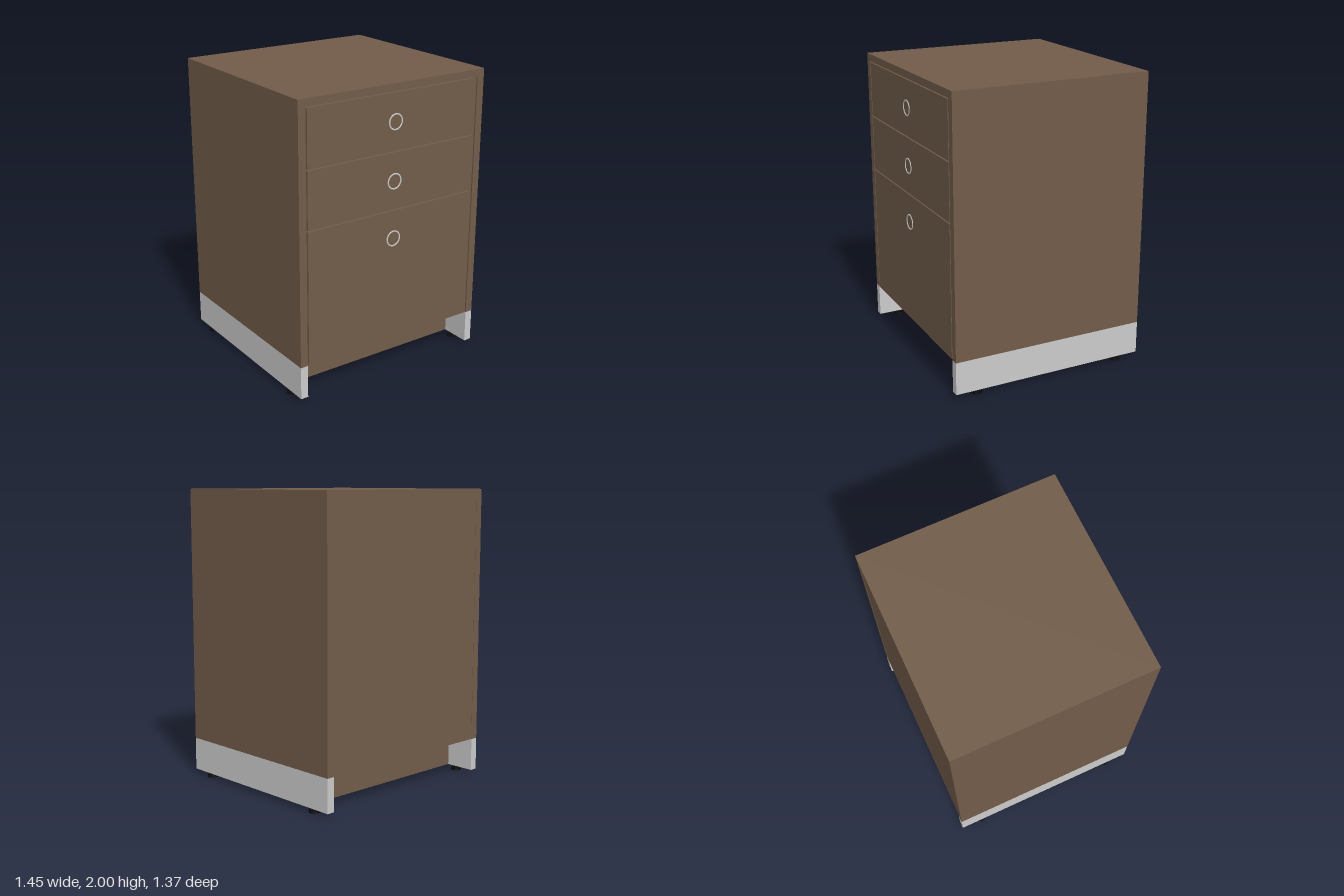
import * as THREE from 'three';

export function createModel() {
  const root = new THREE.Group();
  const wood = new THREE.MeshStandardMaterial({ color: 0x725c4a });
  const grey = new THREE.MeshStandardMaterial({ color: 0xcccccc });
  const black = new THREE.MeshStandardMaterial({ color: 0x0c0c0c });

  // Box given by its minimum and maximum corners
  function box(name, mat, [x0, y0, z0], [x1, y1, z1]) {
    const mesh = new THREE.Mesh(new THREE.BoxGeometry(x1 - x0, y1 - y0, z1 - z0), mat);
    mesh.position.set((x0 + x1) / 2, (y0 + y1) / 2, (z0 + z1) / 2);
    mesh.name = name;
    root.add(mesh);
    return mesh;
  }

  const W = 0.72, inner = 0.667, back = -0.686, front = 0.682;
  const floor = 0.03, base = 0.255, top = 2, under = 1.95;

  // Side panels standing on grey base rails
  for (const s of [-1, 1]) {
    const side = s < 0 ? 'right' : 'left';
    const x0 = s < 0 ? -W : inner, x1 = s < 0 ? -inner : W;
    box(side + 'SidePanel', wood, [x0, base, back], [x1, under, front]);
    box(side + 'BaseRail', grey, [x0, floor, back], [x1, base, front]);
  }

  // Top, back and bottom panels
  box('topPanel', wood, [-W, under, back], [W, top, front]);
  box('backPanel', wood, [-inner, base, back + 0.002], [inner, under, back + 0.05]);
  box('bottomPanel', wood, [-inner, base, back + 0.05], [inner, base + 0.05, front - 0.06]);

  // Recessed plinth boards, front and back
  box('frontPlinth', wood, [-inner, floor, 0.385], [inner, base, 0.475]);
  box('backPlinth', wood, [-inner, floor, -0.478], [inner, base, -0.388]);

  // Drawer fronts: bottom, top and height of the ring pull
  const ringProfile = [[0.045, -0.01], [0.045, 0.002], [0.047, 0.004], [0.053, 0.004], [0.055, 0.002], [0.055, -0.01]]
    .map(([r, y]) => new THREE.Vector2(r, y)).reverse();
  const ringGeo = new THREE.LatheGeometry(ringProfile, 40).rotateX(Math.PI / 2);
  const ringMat = grey.clone();
  ringMat.side = THREE.DoubleSide;
  const drawers = [[1.565, 1.943, 1.755], [1.175, 1.557, 1.365], [base + 0.003, 1.167, 0.975]];
  drawers.forEach(([y0, y1, ringY], i) => {
    box('drawerFront' + (i + 1), wood, [-0.658, y0, front - 0.055], [0.658, y1, front]);
    // Drawer body behind the front
    box('drawerBody' + (i + 1), wood, [-0.64, y0 + 0.05, -0.6], [0.64, y1 - 0.05, front - 0.055]);
    const ring = new THREE.Mesh(ringGeo, ringMat);
    ring.name = 'ringPull' + (i + 1);
    ring.position.set(0, ringY, front);
    root.add(ring);
  });

  // Levelling feet: disc and threaded stem
  for (const x of [-0.69, 0.69]) {
    for (const z of [-0.53, 0.527]) {
      const foot = new THREE.Group();
      foot.name = 'foot';
      const disc = new THREE.Mesh(new THREE.CylinderGeometry(0.035, 0.037, 0.018, 16), black);
      disc.name = 'footDisc';
      disc.position.y = 0.009;
      const stem = new THREE.Mesh(new THREE.CylinderGeometry(0.014, 0.014, 0.03, 12), black);
      stem.name = 'footStem';
      stem.position.y = 0.025;
      foot.add(disc, stem);
      foot.position.set(x, 0, z);
      root.add(foot);
    }
  }
  return root;
}
